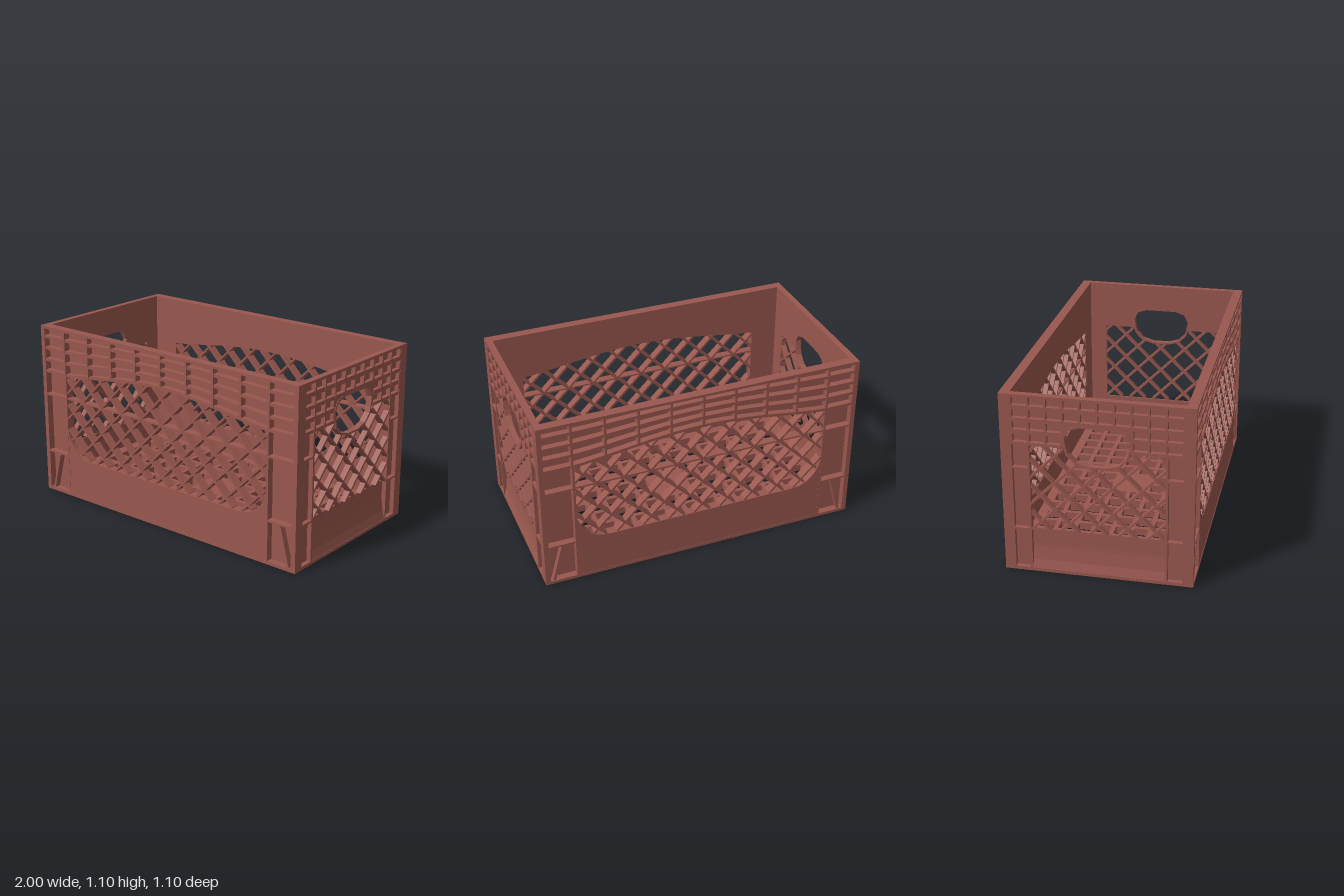
import * as THREE from 'three';

const plastic = new THREE.MeshStandardMaterial({ color: 0x98574e, side: THREE.DoubleSide });
plastic.name = 'brick red plastic';

const X = 1, Z = 0.549, H = 1.103;

function add(group, name, geo, x = 0, y = 0, z = 0) {
  const m = new THREE.Mesh(geo, plastic);
  m.name = name;
  m.position.set(x, y, z);
  group.add(m);
  return m;
}

// Box given by its min and max corners
function box(group, name, x0, x1, y0, y1, z0, z1) {
  return add(group, name, new THREE.BoxGeometry(x1 - x0, y1 - y0, z1 - z0),
    (x0 + x1) / 2, (y0 + y1) / 2, (z0 + z1) / 2);
}

const toShape = (pts) => new THREE.Shape(pts.map((p) => new THREE.Vector2(...p)));
const rect = (a, b, c, d) => [[a, c], [b, c], [b, d], [a, d]];
const mirror = (pts) => pts.concat(pts.map(([u, v]) => [-u, v]).reverse());

// Plate with holes, standing in the wall plane between depths w0 and w1
function plate(group, name, outline, holes, w0, w1) {
  const s = toShape(outline);
  holes.forEach((h) => s.holes.push(toShape(h)));
  return add(group, name, new THREE.ExtrudeGeometry(s, { depth: w1 - w0, bevelEnabled: false }), 0, 0, w0);
}

// Straight rib between two points in the wall plane
function bar(group, name, a, b, width, w0, w1) {
  const len = Math.hypot(b[0] - a[0], b[1] - a[1]);
  const m = add(group, name, new THREE.BoxGeometry(len, width, w1 - w0),
    (a[0] + b[0]) / 2, (a[1] + b[1]) / 2, (w0 + w1) / 2);
  m.rotation.z = Math.atan2(b[1] - a[1], b[0] - a[0]);
}

// Crossed diagonal ribs meeting at height mid, kept only where inside(u, v) holds
function lattice(group, inside, half, pitch, mid, w0, w1) {
  const step = 0.005, n = Math.ceil((half + 0.65) / pitch);
  for (const dir of [1, -1]) {
    for (let i = -n; i <= n; i++) {
      let start = null;
      for (let v = 0.26; v <= 0.92; v += step) {
        const p = [i * pitch + dir * (v - mid), v];
        const ok = inside(p[0], p[1]);
        if (ok && !start) start = p;
        if (!ok && start) {
          if (v - start[1] > 0.02) bar(group, 'latticeBar', start, p, 0.013, w0, w1);
          start = null;
        }
      }
    }
  }
}

// Lower edge of the long wall's ribbed band
const arch = (u) => Math.abs(u) >= 0.8 ? 0.8
  : 0.8 + 0.08 * Math.pow((1 + Math.cos(Math.PI * u / 0.8)) / 2, 0.7);

// Corner ledges and upright for both ends of a wall
function cornerRibs(g, inner, outer, depth) {
  for (const s of [-1, 1]) {
    const a = Math.min(s * inner, s * outer), b = Math.max(s * inner, s * outer);
    for (const v of [0.27, 0.655]) box(g, 'cornerLedge', a, b, v - 0.006, v + 0.006, -depth, 0);
    const e = s * (inner + 0.007);
    box(g, 'openingUpright', e - 0.007, e + 0.007, 0, 0.81, -depth, 0);
  }
}

function longWall() {
  const g = new THREE.Group();
  g.name = 'longWall';
  const D = 0.042, back = -0.057;

  // Recessed sheet with the arched window
  const top = [];
  for (let i = 0; i <= 24; i++) {
    const u = 0.79 - 1.58 * i / 24;
    top.push([u, arch(u)]);
  }
  const fillet = [];
  for (let i = 0; i <= 8; i++) {
    const a = Math.PI / 2 * i / 8;
    fillet.push([0.6 + 0.19 * Math.sin(a), 0.47 - 0.198 * Math.cos(a)]);
  }
  const left = fillet.map(([u, v]) => [-u, v]).reverse();
  plate(g, 'longSheet', rect(-0.975, 0.975, 0, H), [[...fillet, ...top, ...left]], back, -D);

  // Flush lower panel with filleted shoulders
  plate(g, 'lowerPanel', [[-0.8, 0], [0.8, 0], [0.8, 0.47], ...[...fillet].reverse(),
    ...[...left].reverse(), [-0.8, 0.47]], [], -D, -0.002);

  // Ribbed band under the rim: curved ribs and uprights
  for (let k = 1; k <= 4; k++) {
    const up = [], low = [];
    for (let i = 0; i <= 40; i++) {
      const u = -0.985 + 1.97 * i / 40;
      const v = 1.1 + (arch(u) - 1.1) * k / 4;
      low.push([u, v]);
      up.unshift([u, v + 0.018]);
    }
    plate(g, 'curvedRib', [...low, ...up], [], -D, -0.003);
  }
  for (let i = -4; i <= 4; i++) {
    const u = i * 0.2;
    box(g, 'bandUpright', u - 0.007, u + 0.007, arch(u), H - 0.005, -D, -0.001);
  }
  box(g, 'topRim', -X, X, H - 0.016, H, back, 0);

  cornerRibs(g, 0.79, 0.985, D);
  for (const s of [-1, 1]) bar(g, 'cornerBrace', [s * 0.945, 0.02], [s * 0.88, 0.27], 0.016, -D, -0.005);

  // Window lattice and its crossbar
  const inside = (u, v) => {
    const a = Math.abs(u);
    if (a > 0.79 || v < 0.272 || v > arch(u)) return false;
    return !(a > 0.6 && v < 0.47 && Math.hypot((a - 0.6) / 0.19, (v - 0.47) / 0.198) > 1);
  };
  lattice(g, inside, 0.8, 0.165, 0.655, back, -0.004);
  box(g, 'latticeCrossbar', -0.795, 0.795, 0.65, 0.66, back, -0.006);
  return g;
}

function endWall() {
  const g = new THREE.Group();
  g.name = 'endWall';
  const D = 0.028, back = -0.039;
  const lower = [[0.05, 0.7], [0.12, 0.72], [0.165, 0.765], [0.175, 0.8]];
  const upper = [[0.185, 0.86], [0.16, 0.91], [0.1, 0.93]];
  const archTop = mirror([[0.175, 0.8], ...upper]);

  // Recessed sheet: lattice window joined to the hand hole
  plate(g, 'endSheet', rect(-0.5, 0.5, 0, H),
    [[[-0.385, 0.27], [0.385, 0.27], [0.385, 0.8], ...archTop, [-0.385, 0.8]]], back, -D);

  // Plain surround above the hand hole and a lip all around it
  plate(g, 'handleSurround', [[0.205, 0.8], [0.205, 0.95], [-0.205, 0.95], [-0.205, 0.8],
    ...[...archTop].reverse()], [], -D, -0.006);
  const hole = mirror([...lower, ...upper]);
  const lip = hole.map(([u, v]) => [u * 1.07, 0.815 + (v - 0.815) * 1.1]);
  plate(g, 'handleLip', lip, [hole], back, -0.003);

  // Ribbed band under the rim, broken by the hand hole
  for (const [v0, v1, split] of [[1.012, 1.038, 0], [0.94, 0.962, 0], [0.866, 0.892, 1], [0.8, 0.818, 1]]) {
    if (!split) box(g, 'bandRib', -0.49, 0.49, v0, v1, -D, -0.002);
    else for (const s of [-1, 1]) {
      box(g, 'bandRib', s < 0 ? -0.49 : 0.2, s < 0 ? -0.2 : 0.49, v0, v1, -D, -0.002);
    }
  }
  for (let i = -5; i <= 5; i++) {
    const u = i * 0.0965;
    box(g, 'bandUpright', u - 0.006, u + 0.006, Math.abs(i) > 2 ? 0.8 : 0.95, H - 0.005, -D, -0.001);
  }
  box(g, 'topRim', -Z, Z, H - 0.016, H, back, 0);

  // Lower panel curving out towards the base
  const profile = toShape([[back, 0], [-0.003, 0], [-0.003, 0.018], [-0.017, 0.07],
    [-0.027, 0.15], [-0.032, 0.27], [back, 0.27]]);
  const geo = new THREE.ExtrudeGeometry(profile, { depth: 0.77, bevelEnabled: false });
  geo.translate(0, 0, -0.385).rotateY(-Math.PI / 2);
  add(g, 'lowerPanel', geo);

  cornerRibs(g, 0.385, 0.49, D);
  const inside = (u, v) => Math.abs(u) < 0.39 && v > 0.265 && v < 0.805
    && Math.hypot(u / 0.2, (v - 0.815) / 0.128) > 1;
  lattice(g, inside, 0.39, 0.165, 0.325, back, -0.004);
  return g;
}

function base() {
  const g = new THREE.Group();
  g.name = 'base';
  // Deep grid floor with a solid square in the middle
  const pitch = 0.1125, h = 0.0425, holes = [];
  for (let i = 0; i < 16; i++) {
    for (let j = 0; j < 8; j++) {
      if ((i === 7 || i === 8) && (j === 3 || j === 4)) continue;
      const x = (i - 7.5) * pitch, z = (j - 3.5) * pitch;
      holes.push(rect(x - h, x + h, z - h, z + h));
    }
  }
  const floor = plate(g, 'gridFloor', rect(-0.965, 0.965, -0.498, 0.498), holes, 0, 0.045);
  floor.rotation.x = -Math.PI / 2;
  floor.position.y = 0.055;

  // Bottom rim standing below the floor
  const rim = plate(g, 'bottomRim', rect(-X, X, -Z, Z), [rect(-0.961, 0.961, -0.492, 0.492)], 0, 0.02);
  rim.rotation.x = -Math.PI / 2;
  return g;
}

export function createModel() {
  const crate = new THREE.Group();
  crate.name = 'crate';
  for (const s of [1, -1]) {
    const long = longWall();
    long.position.z = s * Z;
    long.rotation.y = s > 0 ? 0 : Math.PI;
    const end = endWall();
    end.position.x = s * X;
    end.rotation.y = s * Math.PI / 2;
    crate.add(long, end);
    // Corner posts
    for (const t of [1, -1]) {
      box(crate, 'cornerPost', s > 0 ? 0.97 : -X, s > 0 ? X : -0.97, 0, H - 0.001,
        t > 0 ? 0.485 : -Z, t > 0 ? Z : -0.485);
    }
  }
  crate.add(base());
  return crate;
}
